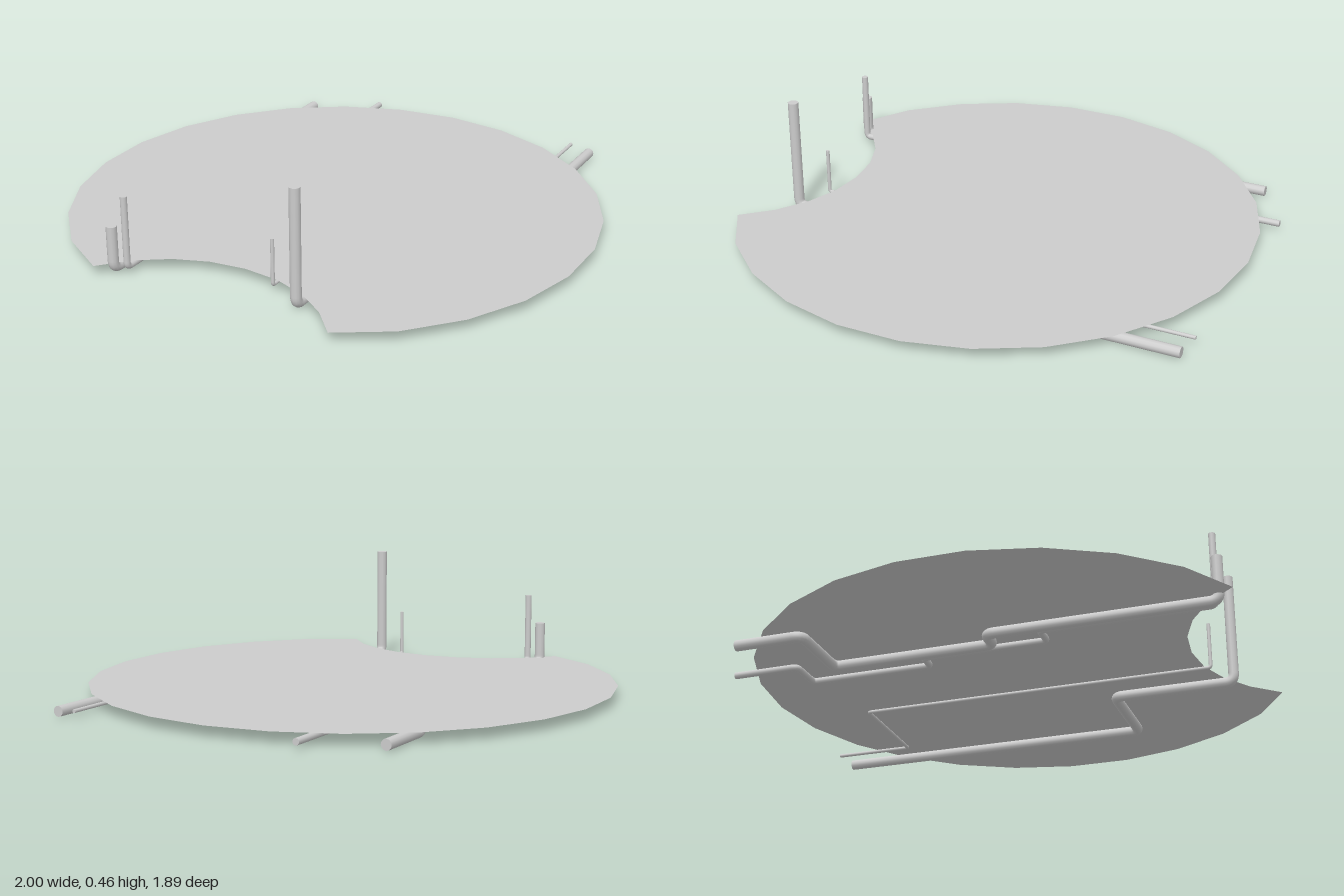
import * as THREE from 'three';
import { mergeGeometries } from 'three/addons/utils/BufferGeometryUtils.js';

const TOP = 0.041; // height of the plate; every pipe hangs just under it
const material = new THREE.MeshStandardMaterial({ color: 0xcccccc });
const sheetMaterial = new THREE.MeshStandardMaterial({ color: 0xcccccc, side: THREE.DoubleSide });

// Flat 26-sided disc with a curved bite out of the front edge
function makePlate() {
  const radius = 1.0073, centreZ = 0.067, step = (Math.PI * 2) / 26;
  const outline = [];
  for (let k = -10; k <= 10; k++) {
    outline.push([Math.sin(k * step) * radius, centreZ - Math.cos(k * step) * radius]);
  }
  const bite = [[0.475, 0.941], [0.38, 0.836], [0.267, 0.759], [0.14, 0.711]];
  outline.push(...bite, [0, 0.695], ...bite.map(([x, z]) => [-x, z]).reverse());
  const shape = new THREE.Shape(outline.map(([x, z]) => new THREE.Vector2(x, -z)));
  const geometry = new THREE.ShapeGeometry(shape).rotateX(-Math.PI / 2).translate(0, TOP, 0);
  const plate = new THREE.Mesh(geometry, sheetMaterial);
  plate.name = 'plate';
  return plate;
}

// Disc that closes a pipe end, facing the given direction
function makeCap(point, direction, radius) {
  const turn = new THREE.Quaternion().setFromUnitVectors(new THREE.Vector3(0, 0, 1), direction);
  return new THREE.CircleGeometry(radius, 12).applyQuaternion(turn).translate(point.x, point.y, point.z);
}

// Pipe through [x, z] corners under the plate, then straight up to the given height
function makePipe(name, radius, height, corners) {
  const points = corners.map(([x, z]) => new THREE.Vector3(x, TOP - 0.001 - radius, z));
  const last = points[points.length - 1];
  points.push(new THREE.Vector3(last.x, height, last.z));
  const bend = radius * 1.6;
  const parts = [];
  let start = points[0];
  for (let i = 1; i < points.length; i++) {
    const corner = points[i];
    const dirIn = corner.clone().sub(points[i - 1]).normalize();
    if (i === 1) parts.push(makeCap(start, dirIn.clone().negate(), radius));
    const next = points[i + 1];
    const end = next ? corner.clone().addScaledVector(dirIn, -bend) : corner;
    parts.push(new THREE.TubeGeometry(new THREE.LineCurve3(start, end), 1, radius, 12));
    if (next) {
      const dirOut = next.clone().sub(corner).normalize();
      start = corner.clone().addScaledVector(dirOut, bend);
      parts.push(new THREE.TubeGeometry(new THREE.QuadraticBezierCurve3(end, corner, start), 6, radius, 12));
    } else {
      parts.push(makeCap(end, dirIn, radius));
    }
  }
  const pipe = new THREE.Mesh(mergeGeometries(parts), material);
  pipe.name = name;
  return pipe;
}

export function createModel() {
  const group = new THREE.Group();
  group.name = 'plateWithPipes';
  group.add(
    makePlate(),
    makePipe('rightThickPipe', 0.02, 0.185, [
      [-0.62, -0.815], [-0.62, -0.56], [-0.34, -0.56], [-0.34, 0.055], [-0.43, 0.055], [-0.43, 0.885],
    ]),
    makePipe('rightMediumPipe', 0.0125, 0.3, [
      [-0.365, -0.95], [-0.365, -0.7], [-0.222, -0.7], [-0.222, -0.23],
      [-0.295, -0.23], [-0.295, 0.24], [-0.385, 0.24], [-0.385, 0.865],
    ]),
    makePipe('leftThinPipe', 0.007, 0.21, [
      [0.548, -0.935], [0.548, -0.63], [0.137, -0.63], [0.137, 0.735],
    ]),
    makePipe('leftThickPipe', 0.02, 0.455, [
      [0.635, -0.915], [0.635, 0.335], [0.266, 0.335], [0.266, 0.795],
    ]),
  );
  return group;
}
